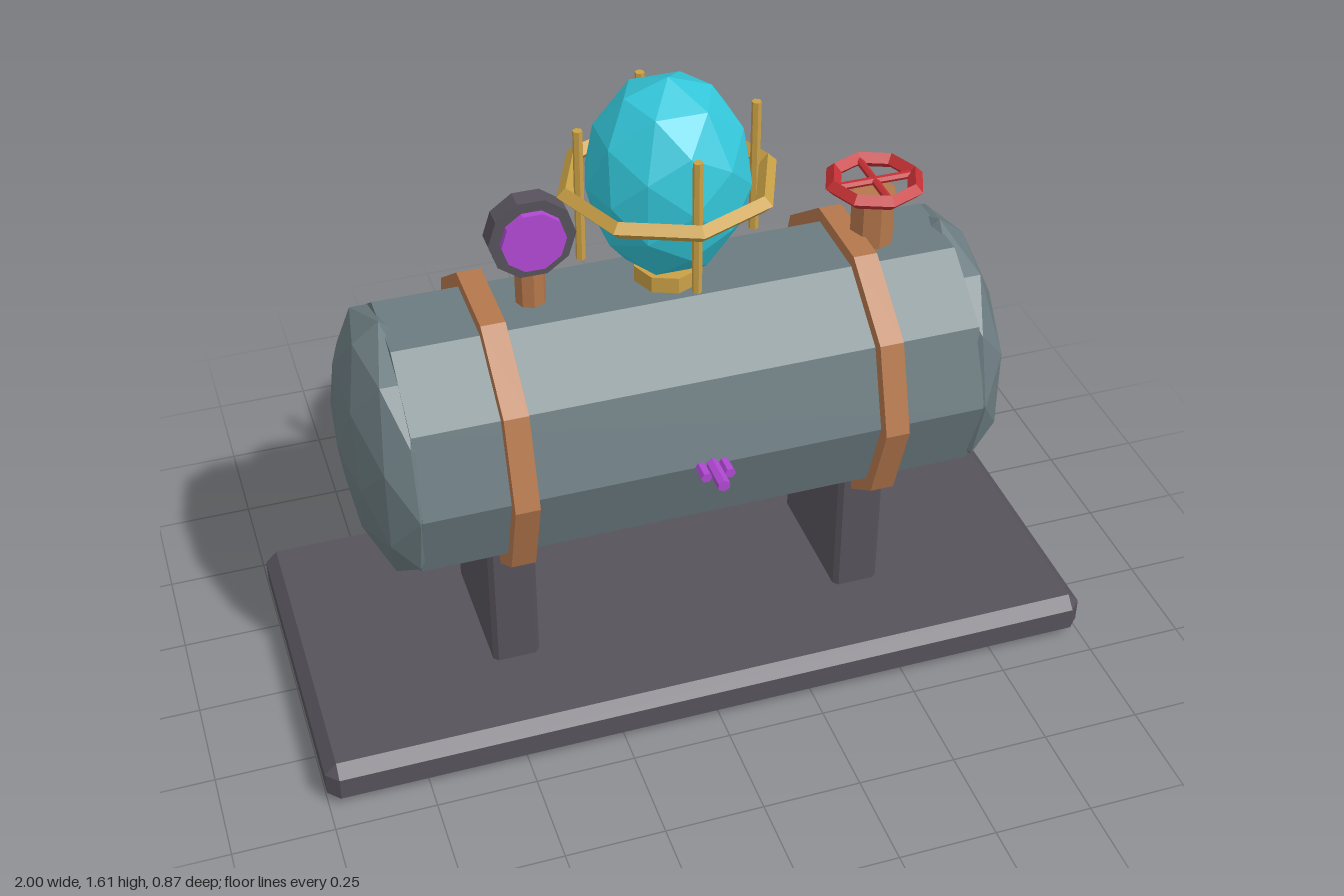
import * as THREE from 'three';
import { ConvexGeometry } from 'three/addons/geometries/ConvexGeometry.js';

const material = (name, color) => {
  const m = new THREE.MeshStandardMaterial({ color });
  m.name = name;
  return m;
};

// Box with every edge chamfered by b
function chamferBox(w, h, d, b) {
  const points = [];
  for (const x of [-1, 1]) for (const y of [-1, 1]) for (const z of [-1, 1])
    for (let k = 0; k < 3; k++) {
      const p = [w / 2, h / 2, d / 2].map((s, i) => (i === k ? s : s - b));
      points.push(new THREE.Vector3(x * p[0], y * p[1], z * p[2]));
    }
  return new ConvexGeometry(points);
}

const rod = (r, length, sides, start = 0) =>
  new THREE.CylinderGeometry(r, r, length, sides, 1, false, start);
const ellipsoid = (rx, ry, rz) => new THREE.IcosahedronGeometry(1, 1).scale(rx, ry, rz);
const ring = (r, tube) => new THREE.TorusGeometry(r, tube, 4, 8).rotateX(Math.PI / 2);

export function createModel() {
  const iron = material('dark iron', 0x57525b);
  const steel = material('grey steel', 0x6b7b80);
  const copper = material('copper', 0xb4774b);
  const brass = material('brass', 0xc9a046);
  const glass = material('cyan glass', 0x33c6d9);
  const red = material('red paint', 0xc43034);
  const purple = material('purple', 0xb048d2);

  const model = new THREE.Group();
  model.name = 'boiler';

  // Adds a faceted mesh
  function add(name, geometry, mat, x, y, z, parent = model) {
    const flat = geometry.index ? geometry.toNonIndexed() : geometry;
    flat.computeVertexNormals();
    const mesh = new THREE.Mesh(flat, mat);
    mesh.name = name;
    mesh.position.set(x, y, z);
    parent.add(mesh);
    return mesh;
  }
  const group = (name) => {
    const g = new THREE.Group();
    g.name = name;
    model.add(g);
    return g;
  };

  const half = Math.PI / 2;
  const axisY = 0.75;

  // Base and tank
  add('base', chamferBox(2, 0.12, 0.87, 0.03), iron, 0, 0.06, 0);
  add('tank', rod(0.34, 1.4, 10).rotateZ(half), steel, 0, axisY, 0);
  for (const s of [-1, 1]) {
    add('tankEnd', ellipsoid(0.125, 0.34, 0.34), steel, s * 0.705, axisY, 0);
    add('leg', chamferBox(0.12, 0.39, 0.365, 0.012), iron, s * 0.46, 0.3, 0);
    add('band', rod(0.375, 0.06, 10).rotateZ(half), copper, s * 0.46, axisY, 0);
  }

  // Glass globe in its brass cage
  const globe = group('globe');
  add('globeCollar', rod(0.085, 0.09, 8), brass, 0, 1.07, 0, globe);
  add('globeGlass', ellipsoid(0.2, 0.255, 0.2), glass, 0, 1.355, 0, globe);
  add('cageRing', ring(0.247, 0.022), brass, 0, 1.342, 0, globe);
  for (let i = 0; i < 4; i++) {
    const a = i * half;
    add('cageRod', rod(0.012, 0.345, 6), brass,
      0.215 * Math.cos(a), 1.337, 0.215 * Math.sin(a), globe);
  }

  // Pressure gauge on a copper stalk
  const gauge = group('gauge');
  add('gaugeStalk', rod(0.037, 0.14, 8), copper, -0.34, 1.11, 0, gauge);
  add('gaugeCase', rod(0.105, 0.052, 10, half).rotateX(half), iron, -0.34, 1.268, 0.016, gauge);
  add('gaugeFace', rod(0.078, 0.018, 10, half).rotateX(half), purple, -0.34, 1.268, 0.05, gauge);

  // Valve with a spoked hand wheel
  const valve = group('valve');
  add('valveStack', rod(0.056, 0.17, 8), copper, 0.523, 1.125, 0, valve);
  add('handWheel', ring(0.106, 0.02), red, 0.523, 1.236, 0, valve);
  add('wheelSpoke', rod(0.01, 0.21, 6).rotateZ(half), red, 0.523, 1.236, 0, valve);
  add('wheelSpoke', rod(0.01, 0.21, 6).rotateX(half), red, 0.523, 1.236, 0, valve);

  // Small winged tap on the front
  const tap = group('tap');
  add('tapStem', rod(0.016, 0.1, 6).rotateX(half), purple, 0, axisY, 0.375, tap);
  for (const s of [-1, 1])
    add('tapWing', rod(0.014, 0.045, 6, half).rotateX(half), purple, s * 0.029, axisY, 0.362, tap);

  return model;
}
